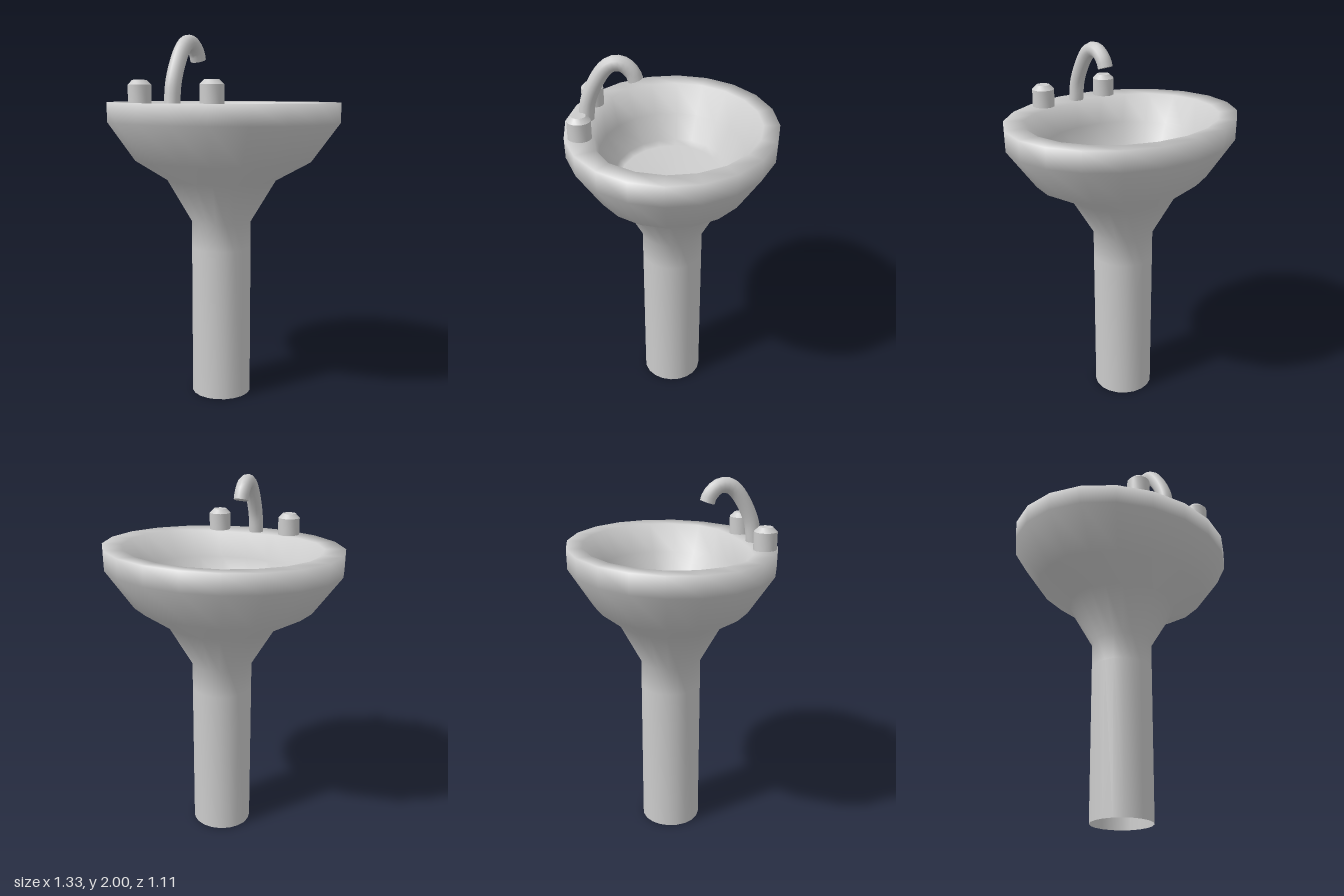
import * as THREE from 'three';
import { toCreasedNormals } from 'three/addons/utils/BufferGeometryUtils.js';

const SIDES = 20;

// Smooth skin through oval rings [y, half width, half depth, ledge setback at the front]
function ovalSkin(rings) {
  const positions = [], index = [];
  for (const [y, rx, rz, ledge] of rings) {
    for (let j = 0; j < SIDES; j++) {
      const t = (j / SIDES) * Math.PI * 2, c = Math.cos(t);
      const setback = ledge * Math.max(0, (c - 0.7) / 0.3);
      positions.push(rx * Math.sin(t), y, rz * c - setback);
    }
  }
  for (let i = 0; i < rings.length - 1; i++) {
    for (let j = 0; j < SIDES; j++) {
      const k = (j + 1) % SIDES;
      const a = i * SIDES + j, b = i * SIDES + k;
      index.push(a, b, a + SIDES);
      if (rings[i + 1][1] > 0) index.push(b, b + SIDES, a + SIDES);
    }
  }
  const geometry = new THREE.BufferGeometry();
  geometry.setAttribute('position', new THREE.Float32BufferAttribute(positions, 3));
  geometry.setIndex(index);
  geometry.computeVertexNormals();
  return geometry;
}

export function createModel() {
  const group = new THREE.Group();
  group.name = 'pedestalSink';
  const material = new THREE.MeshStandardMaterial({ color: 0xcccccc, side: THREE.DoubleSide });
  const add = (name, geometry, x = 0, y = 0, z = 0) => {
    const mesh = new THREE.Mesh(geometry, material);
    mesh.name = name;
    mesh.position.set(x, y, z);
    group.add(mesh);
    return mesh;
  };

  // Open pedestal flaring into the basin, over the rim and down into the bowl
  add('basinAndPedestal', ovalSkin([
    [0, 0.167, 0.167, 0],
    [0.85, 0.167, 0.167, 0],
    [1.0, 0.167, 0.167, 0],
    [1.232, 0.307, 0.29, 0],
    [1.338, 0.505, 0.42, 0],
    [1.55, 0.661, 0.553, 0],
    [1.658, 0.663, 0.555, 0],
    [1.655, 0.55, 0.47, 0.08],
    [1.51, 0.455, 0.385, 0],
    [1.375, 0.39, 0.31, 0],
    [1.35, 0.355, 0.28, 0],
    [1.34, 0, 0, 0],
  ]));

  // Swan-neck spout
  const spoutPath = new THREE.CatmullRomCurve3([
    [1.65, 0.45], [1.76, 0.434], [1.863, 0.389], [1.934, 0.338], [1.958, 0.3],
    [1.958, 0.256], [1.937, 0.222], [1.905, 0.197], [1.875, 0.187],
  ].map(([y, z]) => new THREE.Vector3(0, y, z)));
  add('spout', new THREE.TubeGeometry(spoutPath, 20, 0.041, 12), -0.038);
  const tip = add('spoutEnd', new THREE.CircleGeometry(0.041, 12), -0.038, 1.875, 0.187);
  tip.quaternion.setFromUnitVectors(new THREE.Vector3(0, 0, 1), spoutPath.getTangentAt(1));

  // Tap knobs with a bevelled top
  const knobProfile = [[0.061, -0.01], [0.061, 0.09], [0.037, 0.114], [0, 0.114]]
    .map(([r, y]) => new THREE.Vector2(r, y));
  const knob = toCreasedNormals(new THREE.LatheGeometry(knobProfile, 16), 0.6);
  add('rightKnob', knob, -0.236, 1.66, 0.443);
  add('leftKnob', knob, 0.189, 1.66, 0.45);

  return group;
}
